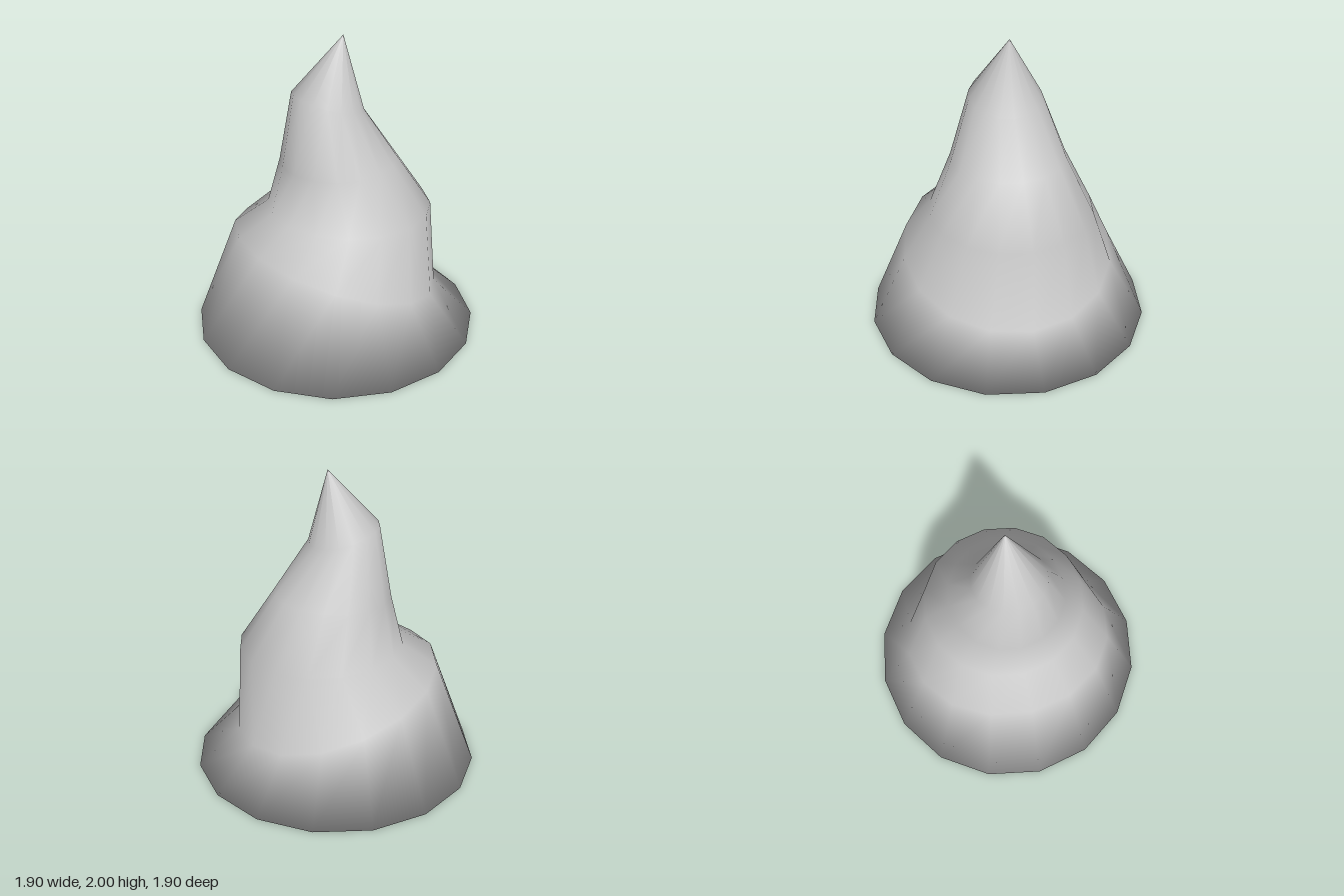
import * as THREE from 'three';

const SIDES = 16;

// Rings from the base to the tip: centre x, centre y, radius, tilt about z (left-right lean)
const RINGS = [
  [0, 0, 0.95, 0],
  [0, 0.495, 0.71, 0.337],
  [0.097, 0.855, 0.54, 0.01],
  [0.018, 1.19, 0.38, -0.03],
  [-0.053, 1.59, 0.235, 0.26],
  [0.05, 2, 0.001, 0],
];

function ringSurface(rings, sides) {
  const positions = [];
  const index = [];
  for (const [cx, cy, r, tilt] of rings) {
    for (let j = 0; j < sides; j++) {
      const a = (j / sides) * Math.PI * 2;
      const u = r * Math.cos(a);
      positions.push(cx + u * Math.cos(tilt), cy - u * Math.sin(tilt), r * Math.sin(a));
    }
  }
  // Wall between neighbouring rings
  for (let i = 0; i < rings.length - 1; i++) {
    for (let j = 0; j < sides; j++) {
      const k = (j + 1) % sides;
      const a = i * sides + j, b = i * sides + k;
      const d = a + sides, c = b + sides;
      index.push(a, d, b, b, d, c);
    }
  }
  // Bottom, sharing the rim so the shading rolls under
  const centre = positions.length / 3;
  positions.push(rings[0][0], rings[0][1], 0);
  for (let j = 0; j < sides; j++) index.push(centre, j, (j + 1) % sides);

  const geometry = new THREE.BufferGeometry();
  geometry.setAttribute('position', new THREE.Float32BufferAttribute(positions, 3));
  geometry.setIndex(index);
  geometry.computeVertexNormals();
  return geometry;
}

export function createModel() {
  const group = new THREE.Group();
  group.name = 'crookedCone';
  const material = new THREE.MeshStandardMaterial({ color: 0xcccccc, side: THREE.DoubleSide });
  const body = new THREE.Mesh(ringSurface(RINGS, SIDES), material);
  body.name = 'coneBody';
  group.add(body);
  return group;
}
